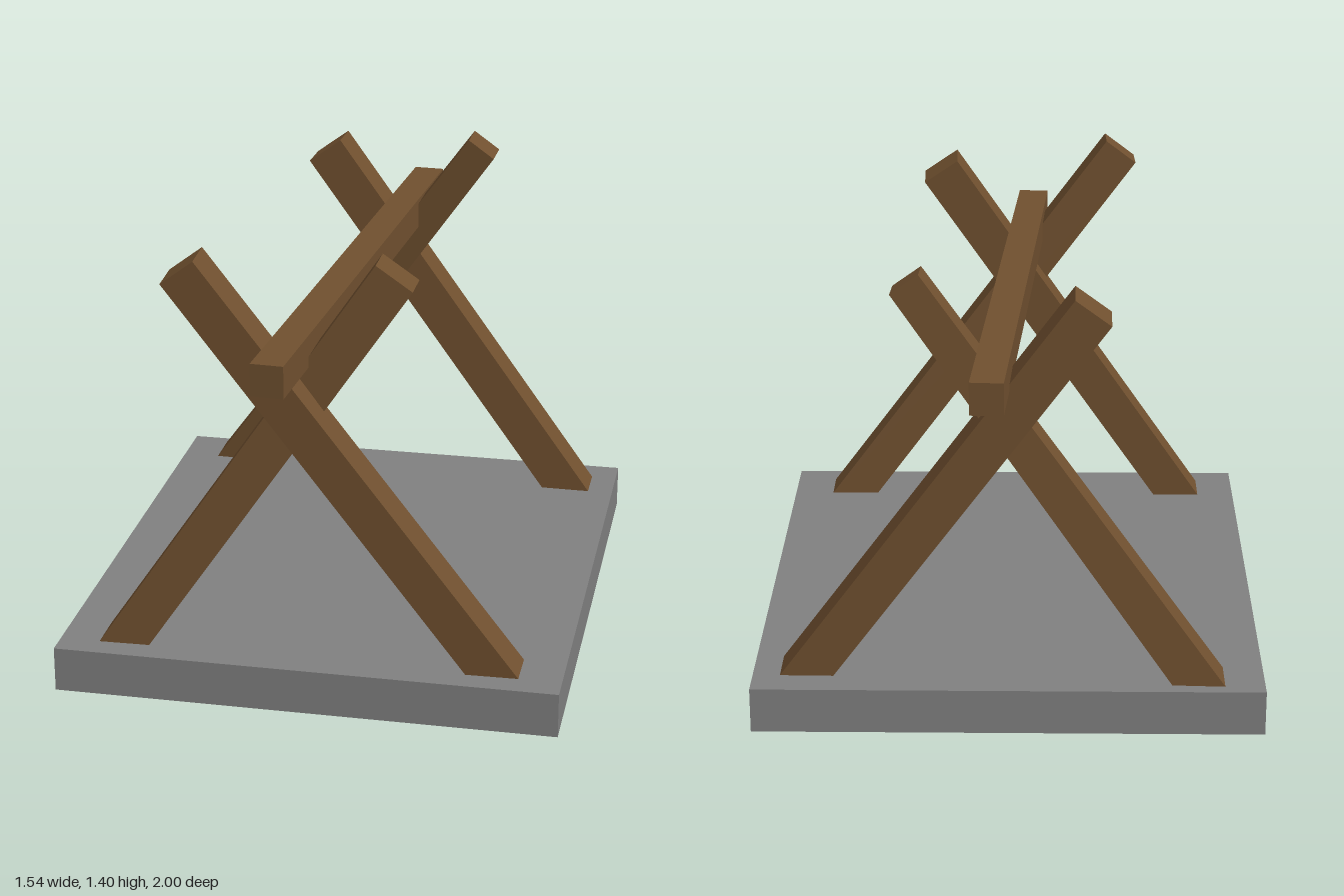
import * as THREE from 'three';

const wood = new THREE.MeshStandardMaterial({ color: 0x70502f, flatShading: true });
const stone = new THREE.MeshStandardMaterial({ color: 0x808080, flatShading: true });

// Square timber from one point to another, optionally tapered towards the far end
function beam(name, from, to, w0, w1 = w0) {
  const a = new THREE.Vector3(...from), b = new THREE.Vector3(...to);
  const length = a.distanceTo(b);
  const geo = new THREE.BoxGeometry(1, length, 1);
  const pos = geo.attributes.position;
  for (let i = 0; i < pos.count; i++) {
    const w = pos.getY(i) > 0 ? w1 : w0;
    pos.setX(i, pos.getX(i) * w);
    pos.setZ(i, pos.getZ(i) * w);
  }
  geo.computeVertexNormals();

  // Local y runs along the timber; one side stays as level as possible
  const y = b.clone().sub(a).normalize();
  const ref = Math.abs(y.z) > 0.9 ? new THREE.Vector3(0, 1, 0) : new THREE.Vector3(0, 0, 1);
  const z = ref.addScaledVector(y, -ref.dot(y)).normalize();
  const x = new THREE.Vector3().crossVectors(y, z);

  const mesh = new THREE.Mesh(geo, wood);
  mesh.name = name;
  mesh.quaternion.setFromRotationMatrix(new THREE.Matrix4().makeBasis(x, y, z));
  mesh.position.copy(a).add(b).multiplyScalar(0.5);
  return mesh;
}

export function createModel() {
  const group = new THREE.Group();
  group.name = 'timberFrame';

  // Ground slab
  const base = new THREE.Mesh(new THREE.BoxGeometry(1.54, 0.14, 1.73), stone);
  base.name = 'base';
  base.position.set(0, 0.07, 0.005);
  group.add(base);

  // Crossed legs: foot at slab level, top, foot width, top width
  const legs = [
    ['frontLegLeft', [0.56, 0.14, 0.732], [-0.36, 1.365, 0.795], 0.127, 0.123],
    ['frontLegRight', [-0.57, 0.14, 0.73], [0.245, 1.337, 0.658], 0.128, 0.131],
    ['backLegLeft', [0.607, 0.14, -0.7], [-0.245, 1.303, -0.73], 0.13, 0.131],
    ['backLegRight', [-0.57, 0.14, -0.755], [0.298, 1.355, -0.658], 0.13, 0.103],
  ];
  for (const [name, foot, top, w0, w1] of legs) {
    // Sink the foot into the slab so its end is hidden
    const sunk = foot.map((v, i) => v - (top[i] - v) * 0.05);
    group.add(beam(name, sunk, top, w0, w1));
  }

  // Ridge pole resting in the crossings
  group.add(beam('ridgePole', [-0.065, 1.108, 0.997], [0.057, 1.116, -0.997], 0.098));

  return group;
}
